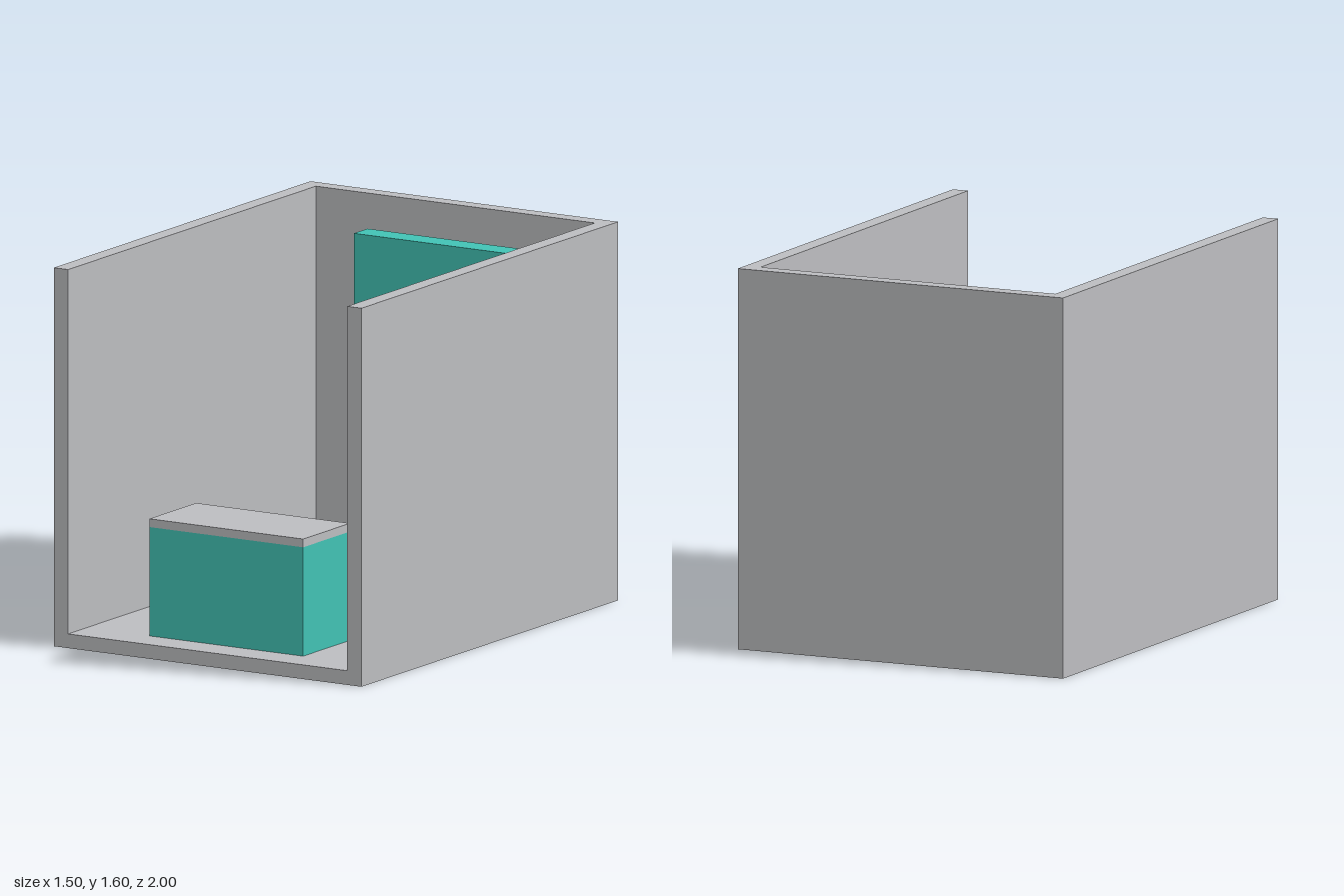
import * as THREE from 'three';

export function createModel() {
  const group = new THREE.Group();
  group.name = 'booth';

  const grey = new THREE.MeshStandardMaterial({ color: 0xbcbdc0 });
  grey.name = 'light grey';
  const teal = new THREE.MeshStandardMaterial({ color: 0x42c2b4 });
  teal.name = 'teal';

  // Box given by its lowest and highest corners
  function box(name, material, [x0, y0, z0], [x1, y1, z1]) {
    const mesh = new THREE.Mesh(new THREE.BoxGeometry(x1 - x0, y1 - y0, z1 - z0), material);
    mesh.position.set((x0 + x1) / 2, (y0 + y1) / 2, (z0 + z1) / 2);
    mesh.name = name;
    group.add(mesh);
  }

  // Shell: floor, back wall and two side walls, open at the front and top
  box('floor', grey, [-0.68, 0, -0.93], [0.68, 0.06, 1]);
  box('backWall', grey, [-0.68, 0, -1], [0.68, 1.6, -0.93]);
  box('leftWall', grey, [0.68, 0, -1], [0.75, 1.6, 1]);
  box('rightWall', grey, [-0.75, 0, -1], [-0.68, 1.6, 1]);

  // Front counter with a thin top
  box('counterBody', teal, [-0.375, 0.06, 0.49], [0.375, 0.52, 0.855]);
  box('counterTop', grey, [-0.375, 0.52, 0.49], [0.375, 0.555, 0.855]);

  // Display panel in front of the back wall, with a low cabinet beneath it
  box('backPanel', teal, [-0.413, 0.305, -0.907], [0.413, 1.455, -0.8]);
  box('cabinet', grey, [-0.338, 0.06, -0.9], [0.338, 0.45, -0.653]);

  return group;
}
